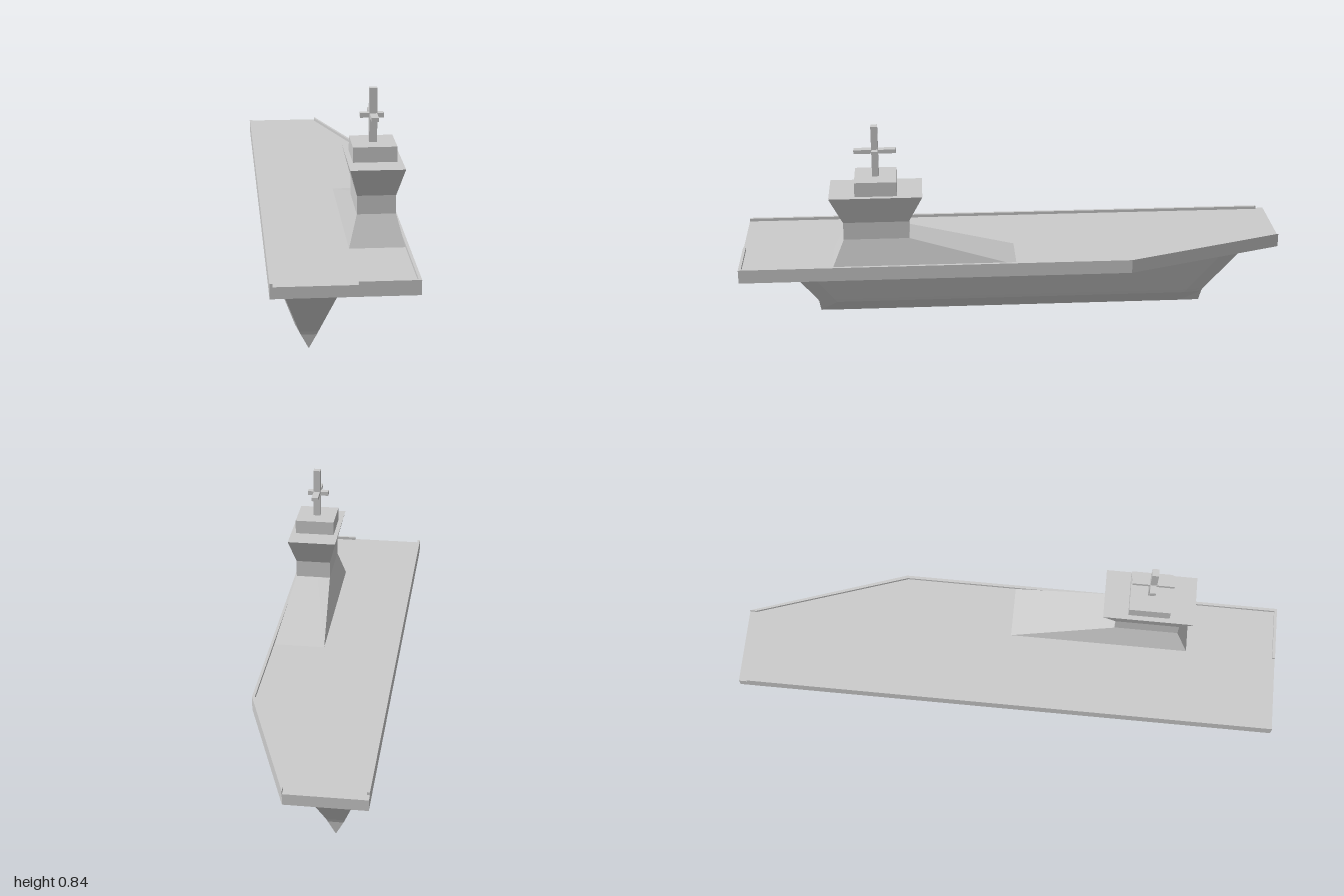
import * as THREE from 'three';

const material = new THREE.MeshStandardMaterial({ color: 0xcccccc, flatShading: true });

function addMesh(parent, name, geometry) {
  const mesh = new THREE.Mesh(geometry, material);
  mesh.name = name;
  parent.add(mesh);
  return mesh;
}

// Box given by its lower and upper bounds
function addBox(parent, name, [x0, y0, z0], [x1, y1, z1]) {
  const mesh = addMesh(parent, name, new THREE.BoxGeometry(x1 - x0, y1 - y0, z1 - z0));
  mesh.position.set((x0 + x1) / 2, (y0 + y1) / 2, (z0 + z1) / 2);
}

// Flat slab from an [x, z] outline
function slab(outline, y, height) {
  const shape = new THREE.Shape(outline.map(([x, z]) => new THREE.Vector2(x, -z)));
  const geometry = new THREE.ExtrudeGeometry(shape, { depth: height, bevelEnabled: false });
  return geometry.rotateX(-Math.PI / 2).translate(0, y, 0);
}

// Capped skin over horizontal sections, listed from bottom to top
function loft(sections) {
  const positions = [];
  const n = sections[0].points.length;
  const at = (s, i) => [s.points[i % n][0], s.y, s.points[i % n][1]];
  for (let k = 0; k < sections.length - 1; k++) {
    const lo = sections[k], hi = sections[k + 1];
    for (let i = 0; i < n; i++) {
      positions.push(...at(lo, i), ...at(lo, i + 1), ...at(hi, i + 1));
      positions.push(...at(lo, i), ...at(hi, i + 1), ...at(hi, i));
    }
  }
  const bottom = sections[0], top = sections[sections.length - 1];
  for (let i = 1; i < n - 1; i++) {
    positions.push(...at(bottom, 0), ...at(bottom, i + 1), ...at(bottom, i));
    positions.push(...at(top, 0), ...at(top, i), ...at(top, i + 1));
  }
  const geometry = new THREE.BufferGeometry();
  geometry.setAttribute('position', new THREE.Float32BufferAttribute(positions, 3));
  geometry.computeVertexNormals();
  return geometry;
}

const rect = (x0, x1, z0, z1) => [[x0, z1], [x1, z1], [x1, z0], [x0, z0]];

export function createModel() {
  const ship = new THREE.Group();
  ship.name = 'aircraftCarrier';

  // Hull: eight-sided sections of y, half width, end z, end half width, shoulder z
  const keel = -0.1;
  const hullSections = [
    [0.002, 0.002, 0.735, 0.001, 0.66],
    [0.052, 0.038, 0.74, 0.027, 0.67],
    [0.065, 0.043, 0.745, 0.032, 0.68],
    [0.243, 0.098, 0.87, 0.088, 0.8],
    [0.256, 0.103, 0.9, 0.095, 0.84],
    [0.285, 0.14, 1, 0.14, 0.995],
  ].map(([y, w, z, ew, sz]) => ({
    y,
    points: [[-ew, z], [ew, z], [w, sz], [w, -sz], [ew, -z], [-ew, -z], [-w, -sz], [-w, sz]]
      .map(([x, pz]) => [x + keel, pz]),
  }));
  addMesh(ship, 'hull', loft(hullSections));

  // Flight deck and its raised edges
  addMesh(ship, 'flightDeck', slab(
    [[-0.24, 1], [0.24, 1], [0.24, -0.42], [0.04, -1], [-0.24, -1]], 0.285, 0.04));
  addBox(ship, 'rightDeckRim', [-0.24, 0.325, -0.97], [-0.23, 0.336, 1]);
  addMesh(ship, 'leftDeckRim', slab(
    [[0.04, 1], [0.24, 1], [0.24, -0.42], [0.04, -1], [0.04, -0.975],
      [0.23, -0.415], [0.23, 0.99], [0.04, 0.99]], 0.325, 0.011));

  // Island tower: flared foot, straight neck, flared bridge
  const island = new THREE.Group();
  island.name = 'island';
  ship.add(island);
  addMesh(island, 'tower', loft([
    { y: 0.325, points: rect(0.04, 0.23, 0.33, 0.665) },
    { y: 0.43, points: rect(0.07, 0.202, 0.385, 0.62) },
    { y: 0.495, points: rect(0.07, 0.202, 0.385, 0.62) },
    { y: 0.597, points: rect(0.043, 0.228, 0.335, 0.667) },
  ]));

  // Sloped fairing behind the tower
  addMesh(island, 'fairing', loft([
    { y: 0.325, points: rect(0.04, 0.23, 0, 0.33) },
    { y: 0.43, points: [[0.07, 0.39], [0.202, 0.39], [0.202, 0.385], [0.12, 0.385]] },
  ]));

  // Cabin and mast with crossed yards
  addBox(island, 'cabin', [0.06, 0.597, 0.425], [0.21, 0.65, 0.575]);
  addBox(island, 'mast', [0.121, 0.65, 0.488], [0.148, 0.837, 0.512]);
  addBox(island, 'crossYard', [0.09, 0.735, 0.489], [0.17, 0.751, 0.511]);
  addBox(island, 'longYard', [0.122, 0.736, 0.425], [0.147, 0.75, 0.575]);

  return ship;
}
